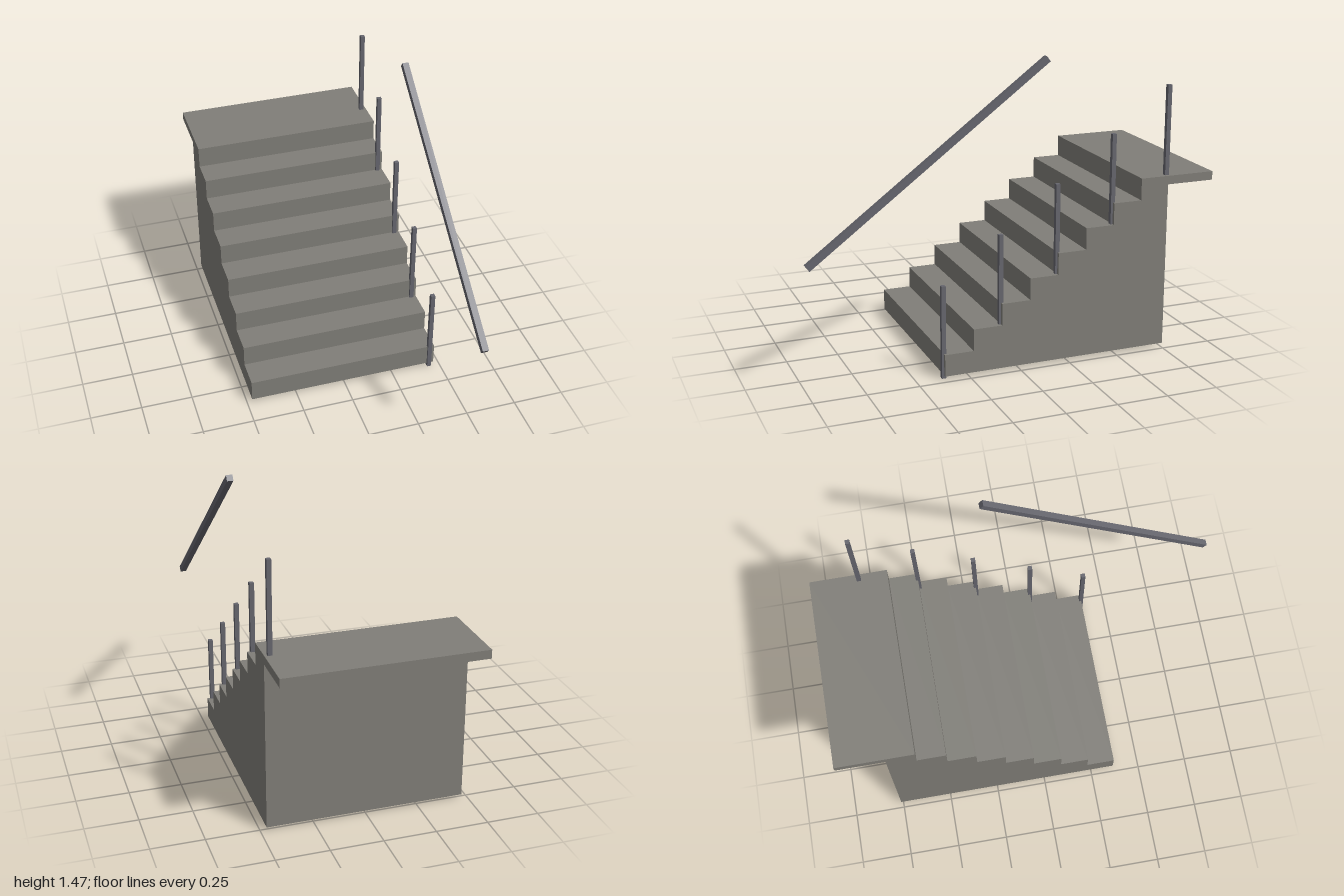
import * as THREE from 'three';

export function createModel() {
  const model = new THREE.Group();
  const stone = new THREE.MeshStandardMaterial({ color: 0x807e78 });
  const metal = new THREE.MeshStandardMaterial({ color: 0x66666e });

  const add = (name, geometry, material, x, y, z) => {
    const mesh = new THREE.Mesh(geometry, material);
    mesh.name = name;
    mesh.position.set(x, y, z);
    model.add(mesh);
    return mesh;
  };

  // Staircase: stepped side profile (z, y) with an overhanging landing
  const steps = 8, rise = 0.1059, run = 0.141, front = 0.367, base = 0.015;
  const width = 0.945, back = front - steps * run, top = base + steps * rise;
  const profile = new THREE.Shape();
  profile.moveTo(front, base);
  for (let i = 0; i < steps; i++) {
    profile.lineTo(front - i * run, base + (i + 1) * rise);
    if (i < steps - 1) profile.lineTo(front - (i + 1) * run, base + (i + 1) * rise);
  }
  profile.lineTo(-1, top);
  profile.lineTo(-1, top - 0.042);
  profile.lineTo(back, top - 0.042);
  profile.lineTo(back, base);
  profile.closePath();
  const stairGeometry = new THREE.ExtrudeGeometry(profile, { depth: width, bevelEnabled: false });
  stairGeometry.translate(0, 0, -width / 2);
  stairGeometry.rotateY(-Math.PI / 2); // profile x becomes z, extrusion becomes x
  add('staircase', stairGeometry, stone, -0.0015, 0, 0);

  // Railing posts, one on every second step
  const railX = 0.446, postHeight = 0.45;
  const postGeometry = new THREE.BoxGeometry(0.021, postHeight, 0.021);
  for (let i = 0; i < 5; i++) {
    add(`post${i + 1}`, postGeometry, metal, railX, postHeight / 2 + i * rise * 2, front - i * run * 2);
  }

  // Floating handrail, parallel to the stair slope
  const rail = add('handrail', new THREE.BoxGeometry(0.03, 0.03, 1.413), metal, railX, 1.035, 0.427);
  rail.rotation.x = Math.atan2(rise, run);

  return model;
}
